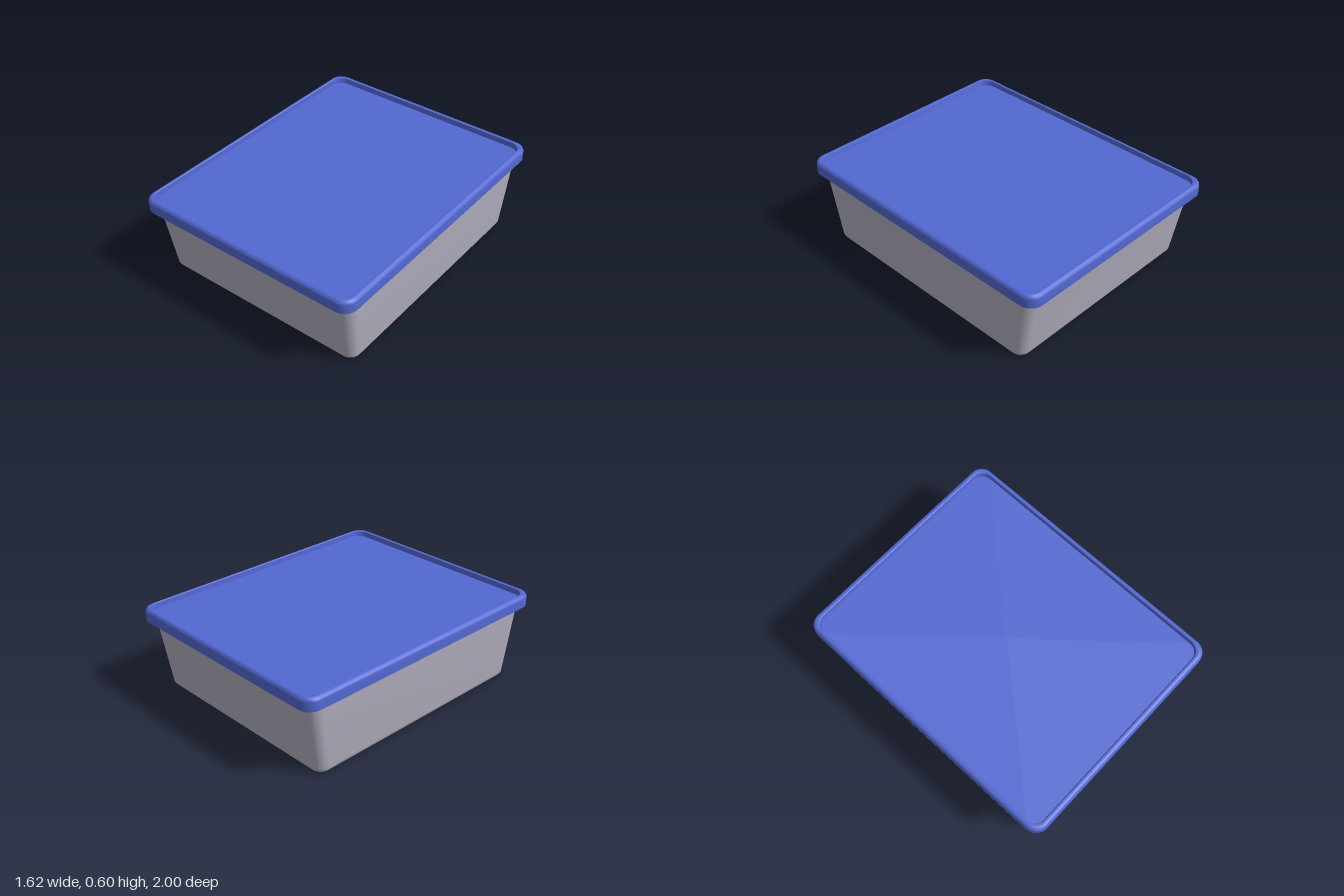
import * as THREE from 'three';
import { toCreasedNormals } from 'three/addons/utils/BufferGeometryUtils.js';

const CORNER_STEPS = 8;

// Outline of a rounded rectangle at height y; hx and hz are half sizes, r the corner radius
function ring({ y, hx, hz, r }) {
  const points = [];
  [[1, 1], [-1, 1], [-1, -1], [1, -1]].forEach(([sx, sz], q) => {
    for (let i = 0; i <= CORNER_STEPS; i++) {
      const a = (q + i / CORNER_STEPS) * Math.PI / 2;
      points.push([sx * (hx - r) + r * Math.cos(a), y, sz * (hz - r) + r * Math.sin(a)]);
    }
  });
  return points;
}

// Skin through a list of rings, closed at both ends by a flat cap
function loft(sections) {
  const rings = sections.map(ring);
  const n = rings[0].length;
  const positions = [];
  const centre = (s) => Array(n).fill([0, s.y, 0]);
  const all = [centre(sections[0]), ...rings, centre(sections[sections.length - 1])];
  for (let i = 0; i < all.length - 1; i++) {
    for (let j = 0; j < n; j++) {
      const k = (j + 1) % n;
      const a = all[i][j], b = all[i][k], c = all[i + 1][j], d = all[i + 1][k];
      if (i < all.length - 2) positions.push(...a, ...c, ...d);
      if (i > 0) positions.push(...a, ...d, ...b);
    }
  }
  const geometry = new THREE.BufferGeometry();
  geometry.setAttribute('position', new THREE.Float32BufferAttribute(positions, 3));
  return toCreasedNormals(geometry, 0.6);
}

// Sections along a quarter round; the outline shrinks by up to size as the angle goes to 90 degrees
function fillet(outer, size, direction, from, to, steps = 6) {
  return Array.from({ length: steps + 1 }, (_, i) => {
    const a = THREE.MathUtils.lerp(from, to, i / steps) * Math.PI / 2;
    const inset = size * (1 - Math.cos(a));
    return {
      y: outer.y + direction * size * Math.sin(a),
      hx: outer.hx - inset, hz: outer.hz - inset, r: outer.r - inset,
    };
  });
}

export function createModel() {
  const group = new THREE.Group();
  group.name = 'storageBox';
  const lidBlue = new THREE.MeshStandardMaterial({ color: 0x5368d2 });
  lidBlue.name = 'lidBlue';
  const tubGrey = new THREE.MeshStandardMaterial({ color: 0xb2afbe });
  tubGrey.name = 'tubGrey';

  // Tapered tub with a rounded bottom edge
  const tub = new THREE.Mesh(loft([
    ...fillet({ y: 0.04, hx: 0.748, hz: 0.868, r: 0.075 }, 0.04, -1, 1, 0),
    { y: 0.535, hx: 0.771, hz: 0.947, r: 0.08 },
  ]), tubGrey);
  tub.name = 'tub';

  // Overhanging lid: flat underside, rounded rim and sunken top panel
  const lid = new THREE.Mesh(loft([
    { y: 0.51, hx: 0.75, hz: 0.92, r: 0.07 },
    { y: 0.51, hx: 0.81, hz: 1, r: 0.09 },
    ...fillet({ y: 0.567, hx: 0.81, hz: 1, r: 0.09 }, 0.028, 1, 0, 1),
    { y: 0.591, hx: 0.777, hz: 0.963, r: 0.08 },
    { y: 0.557, hx: 0.775, hz: 0.956, r: 0.078 },
  ]), lidBlue);
  lid.name = 'lid';

  group.add(tub, lid);
  return group;
}
